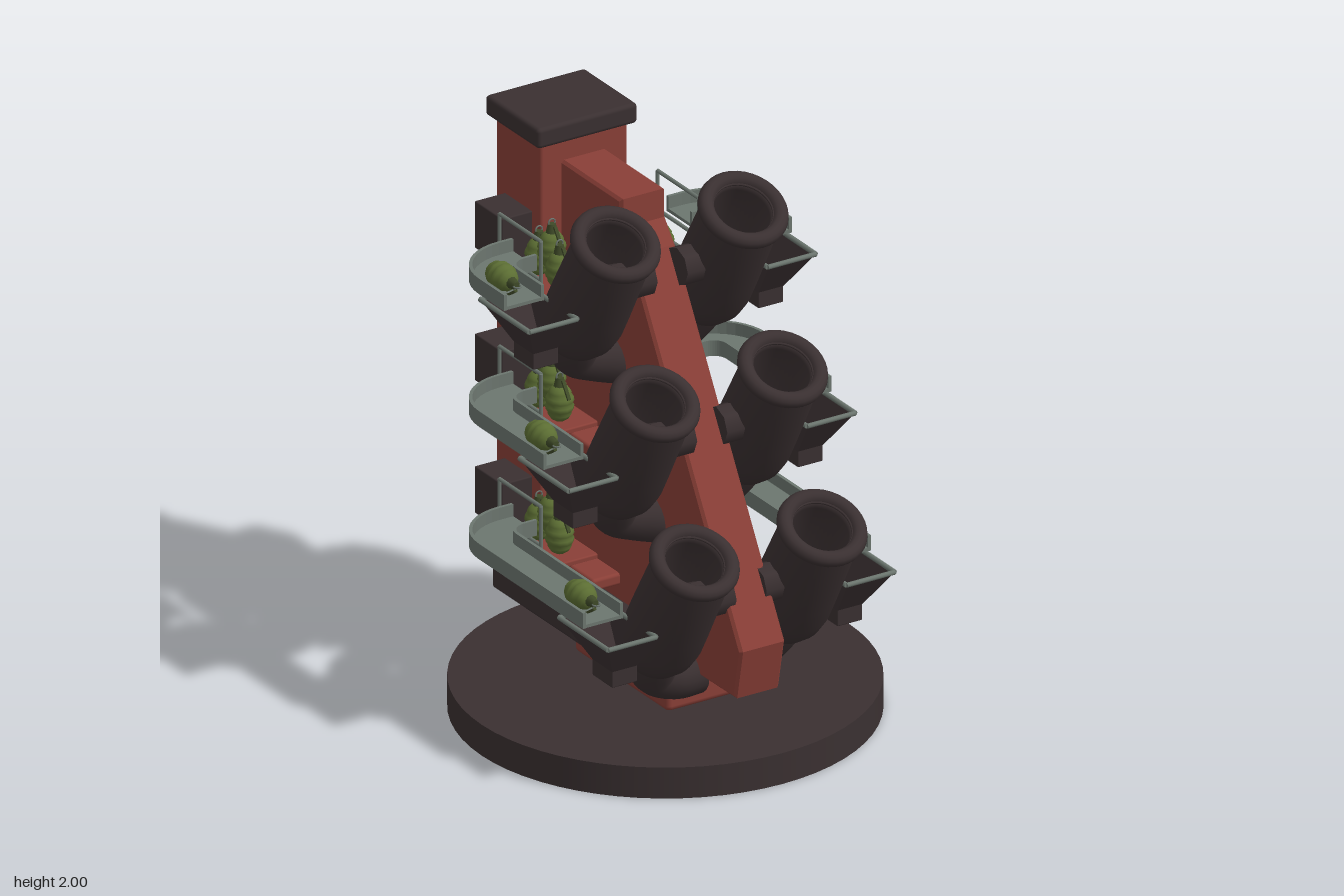
import * as THREE from 'three';
import { RoundedBoxGeometry } from 'three/addons/geometries/RoundedBoxGeometry.js';

const paint = (name, color) => Object.assign(new THREE.MeshStandardMaterial({ color }), { name });
const V = (x, y, z) => new THREE.Vector3(x, y, z);

export function createModel() {
  const red = paint('red paint', 0x8a3f37);
  const dark = paint('dark iron', 0x3a3031);
  const darkSheet = paint('dark sheet iron', 0x3a3031);
  darkSheet.side = THREE.DoubleSide;
  const grey = paint('grey steel', 0x6c766f);
  const green = paint('olive green', 0x5c6e33);
  const olive = paint('dark olive', 0x3f4a28);

  const root = new THREE.Group();
  root.name = 'mortarTower';

  function add(parent, name, geo, mat, x = 0, y = 0, z = 0) {
    const m = new THREE.Mesh(geo, mat);
    m.name = name;
    m.position.set(x, y, z);
    parent.add(m);
    return m;
  }
  // Rounded box given by its limits on each axis
  function block(parent, name, mat, [x0, x1], [y0, y1], [z0, z1], r = 0.012) {
    const geo = new RoundedBoxGeometry(Math.abs(x1 - x0), y1 - y0, z1 - z0, 2, r);
    return add(parent, name, geo, mat, (x0 + x1) / 2, (y0 + y1) / 2, (z0 + z1) / 2);
  }
  // Thin rod between two points
  function rod(parent, name, a, b, r = 0.007, mat = grey) {
    const m = add(parent, name, new THREE.CylinderGeometry(r, r, a.distanceTo(b), 8), mat);
    m.position.copy(a).lerp(b, 0.5);
    m.quaternion.setFromUnitVectors(V(0, 1, 0), b.clone().sub(a).normalize());
    return m;
  }
  function loop(parent, name, pts, r) {
    pts.forEach((p, i) => rod(parent, name, p, pts[(i + 1) % pts.length], r));
  }

  // Turntable and pivot
  add(root, 'turntable', new THREE.CylinderGeometry(0.735, 0.735, 0.115, 64), dark, 0, 0.0575, 0.053);
  block(root, 'pivotBlock', red, [-0.16, 0.16], [0.115, 0.25], [-0.27, 0.315], 0.02);

  // Sloping central fin
  const finShape = new THREE.Shape([[-0.5, 0.27], [0.62, 0.285], [0.655, 0.46], [-0.03, 1.66],
    [-0.095, 1.74], [-0.095, 1.84], [-0.5, 1.84]].map(([z, y]) => new THREE.Vector2(z, y)));
  const finGeo = new THREE.ExtrudeGeometry(finShape, {
    depth: 0.16, bevelEnabled: true, bevelThickness: 0.01, bevelSize: 0.01, bevelSegments: 1,
  });
  finGeo.translate(0, 0, -0.08).rotateY(-Math.PI / 2);
  add(root, 'centralFin', finGeo, red);

  // Rear column with cap, skid and back panel
  block(root, 'column', red, [-0.175, 0.175], [0.26, 1.93], [-0.735, -0.455]);
  block(root, 'columnCap', dark, [-0.2, 0.2], [1.925, 2], [-0.765, -0.43], 0.015);
  block(root, 'skid', dark, [-0.22, 0.22], [0.2, 0.36], [-0.69, 0.005]);
  block(root, 'backPanel', dark, [-0.14, 0.14], [0.37, 1.835], [-0.762, -0.73]);
  for (const y of [1.38, 0.905, 0.395]) {
    rod(root, 'backBar', V(-0.16, y, -0.775), V(0.16, y, -0.775), 0.012);
  }
  for (const y of [1.755, 1.465, 0.97, 0.48]) {
    for (const x of [-0.12, 0.12]) {
      rod(root, 'backStud', V(x, y, -0.755), V(x, y, -0.786), 0.015);
    }
  }

  // Ribbed grenade, standing along y and centred on its body
  const ribs = [new THREE.Vector2(0, -0.07)];
  for (let i = 0; i <= 16; i++) {
    const t = -0.92 + (i / 16) * 1.84;
    const groove = i % 4 === 0 ? 0.9 : 1;
    ribs.push(new THREE.Vector2(0.05 * Math.sqrt(1 - t * t) * groove, t * 0.07));
  }
  ribs.push(new THREE.Vector2(0, 0.067));
  const bodyGeo = new THREE.LatheGeometry(ribs, 12);
  const capGeo = new THREE.CylinderGeometry(0.014, 0.022, 0.035, 10);
  const leverGeo = new THREE.BoxGeometry(0.012, 0.07, 0.008);
  const ringGeo = new THREE.TorusGeometry(0.013, 0.003, 6, 12);
  function grenade(parent, x, y, z, lying = false) {
    const g = new THREE.Group();
    g.name = 'grenade';
    add(g, 'grenadeBody', bodyGeo, green);
    add(g, 'grenadeCap', capGeo, olive, 0, 0.076, 0);
    add(g, 'grenadeLever', leverGeo, olive, 0, 0.06, 0.04).rotation.x = -0.6;
    add(g, 'grenadeRing', ringGeo, grey, 0, 0.098, 0);
    g.position.set(x, y, z);
    if (lying) g.rotation.x = Math.PI / 2;
    parent.add(g);
  }

  // Strip between two offsets of the curved feed path, seen in plan
  function feedStrip(s, zEnd, a, b, h) {
    const path = [[0.31, -0.345, 0]];
    for (let i = 0; i <= 10; i++) {
      const t = (i / 10) * Math.PI / 2;
      path.push([0.365 + 0.13 * Math.sin(t), -0.215 - 0.13 * Math.cos(t), t]);
    }
    path.push([0.495, zEnd, Math.PI / 2]);
    const edge = (o) => path.map(([x, z, t]) =>
      new THREE.Vector2(s * (x + o * Math.sin(t)), z - o * Math.cos(t)));
    const shape = new THREE.Shape([...edge(a), ...edge(b).reverse()]);
    const geo = new THREE.ExtrudeGeometry(shape, { depth: h, bevelEnabled: false });
    return geo.rotateX(Math.PI / 2);
  }

  // Open hopper: four sloping walls and a floor, from a top and a bottom rectangle
  function hopperGeometry(s) {
    const ring = (x0, x1, z0, z1, y) => [[x0, z0], [x1, z0], [x1, z1], [x0, z1]].map(([x, z]) => [s * x, y, z]);
    const c = [...ring(0.385, 0.572, -0.21, 0.098, 0), ...ring(0.4, 0.5, -0.115, 0.01, -0.135)];
    const quads = [[0, 1, 5, 4], [1, 2, 6, 5], [2, 3, 7, 6], [3, 0, 4, 7], [4, 5, 6, 7]];
    const pos = quads.flatMap(([p, q, r, t]) => [p, q, r, p, r, t].flatMap((i) => c[i]));
    const geo = new THREE.BufferGeometry();
    geo.setAttribute('position', new THREE.Float32BufferAttribute(pos, 3));
    geo.computeVertexNormals();
    return geo;
  }

  // Barrel profile from the breech up to the muzzle and down the bore
  const barrelGeo = new THREE.LatheGeometry([[0, -0.55], [0.06, -0.54], [0.105, -0.51], [0.132, -0.46],
    [0.143, -0.4], [0.143, -0.3], [0.138, 0], [0.105, 0.01], [0.1, -0.02], [0.098, -0.32], [0, -0.33]]
    .map(([r, y]) => new THREE.Vector2(r, y)), 36);
  const rimGeo = new THREE.TorusGeometry(0.131, 0.028, 12, 36).rotateX(Math.PI / 2);

  function station(level, s) {
    const g = new THREE.Group();
    g.name = s > 0 ? 'leftStation' : 'rightStation';
    const dy = -0.494 * level;
    const dz = 0.247 * level;
    const X = (a, b) => [s * a, s * b];

    // Mortar leaning forward by thirty degrees
    const mortar = new THREE.Group();
    mortar.name = 'mortar';
    mortar.position.set(s * 0.255, 1.815 + dy, 0.14 + dz);
    mortar.rotation.x = Math.PI / 6;
    add(mortar, 'barrel', barrelGeo, dark);
    add(mortar, 'muzzleRim', rimGeo, dark);
    const bend = new THREE.CatmullRomCurve3([V(0, -0.42, 0), V(-0.005 * s, -0.54, 0),
      V(-0.045 * s, -0.62, 0), V(-0.11 * s, -0.64, 0.02), V(-0.2 * s, -0.64, level < 2 ? 0.06 : 0.02)]);
    add(mortar, 'breechElbow', new THREE.TubeGeometry(bend, 20, 0.085, 18), dark);
    g.add(mortar);
    rod(g, 'trunnion', V(s * 0.06, 1.61 + dy, 0.03 + dz), V(s * 0.2, 1.61 + dy, 0.03 + dz), 0.07, dark);

    // Loading hopper with steel rim and foot
    const top = 1.553 + dy;
    add(g, 'hopper', hopperGeometry(s), darkSheet, 0, top, dz);
    block(g, 'hopperFoot', dark, X(0.4, 0.5), [top - 0.195, top - 0.13], [-0.115 + dz, 0.01 + dz], 0.004);
    loop(g, 'hopperRim', [V(s * 0.38, top, -0.21 + dz), V(s * 0.572, top, -0.21 + dz),
      V(s * 0.572, top, 0.098 + dz), V(s * 0.38, top, 0.098 + dz)], 0.009);

    // Curved feed channel
    const zEnd = -0.055 + dz;
    add(g, 'feedFloor', feedStrip(s, zEnd, -0.078, 0.078, 0.012), grey, 0, 1.585 + dy, 0);
    add(g, 'feedOuterWall', feedStrip(s, zEnd, 0.068, 0.08, 0.058), grey, 0, 1.63 + dy, 0);
    add(g, 'feedInnerWall', feedStrip(s, zEnd, -0.08, -0.068, 0.058), grey, 0, 1.63 + dy, 0);
    grenade(g, s * 0.505, 1.635 + dy, -0.18 + dz, true);

    // Grenade shelf, its bracket and the rod frame
    block(g, 'grenadeShelf', red, X(0.08, 0.31), [1.44 + dy, 1.462 + dy], [-0.495, -0.23], 0.006);
    block(g, 'shelfBracket', red, X(0.06, 0.2), [1.4 + dy, 1.445 + dy], [-0.32, -0.09]);
    const P = (y, z) => V(s * 0.316, y + dy, z);
    loop(g, 'rackFrame', [P(1.465, -0.23), P(1.695, -0.23), P(1.695, -0.49), P(1.465, -0.49)]);
    rod(g, 'rackRail', P(1.55, -0.23), P(1.55, -0.49));
    grenade(g, s * 0.2, 1.535 + dy, -0.295);
    grenade(g, s * 0.19, 1.585 + dy, -0.36);
    grenade(g, s * 0.2, 1.535 + dy, -0.425);

    // Side box on the column
    block(g, 'sideBox', dark, X(0.165, 0.295), [1.487 + dy, 1.662 + dy], [-0.68, -0.507], 0.005);
    root.add(g);
  }
  for (let level = 0; level < 3; level++) for (const s of [1, -1]) station(level, s);

  return root;
}
